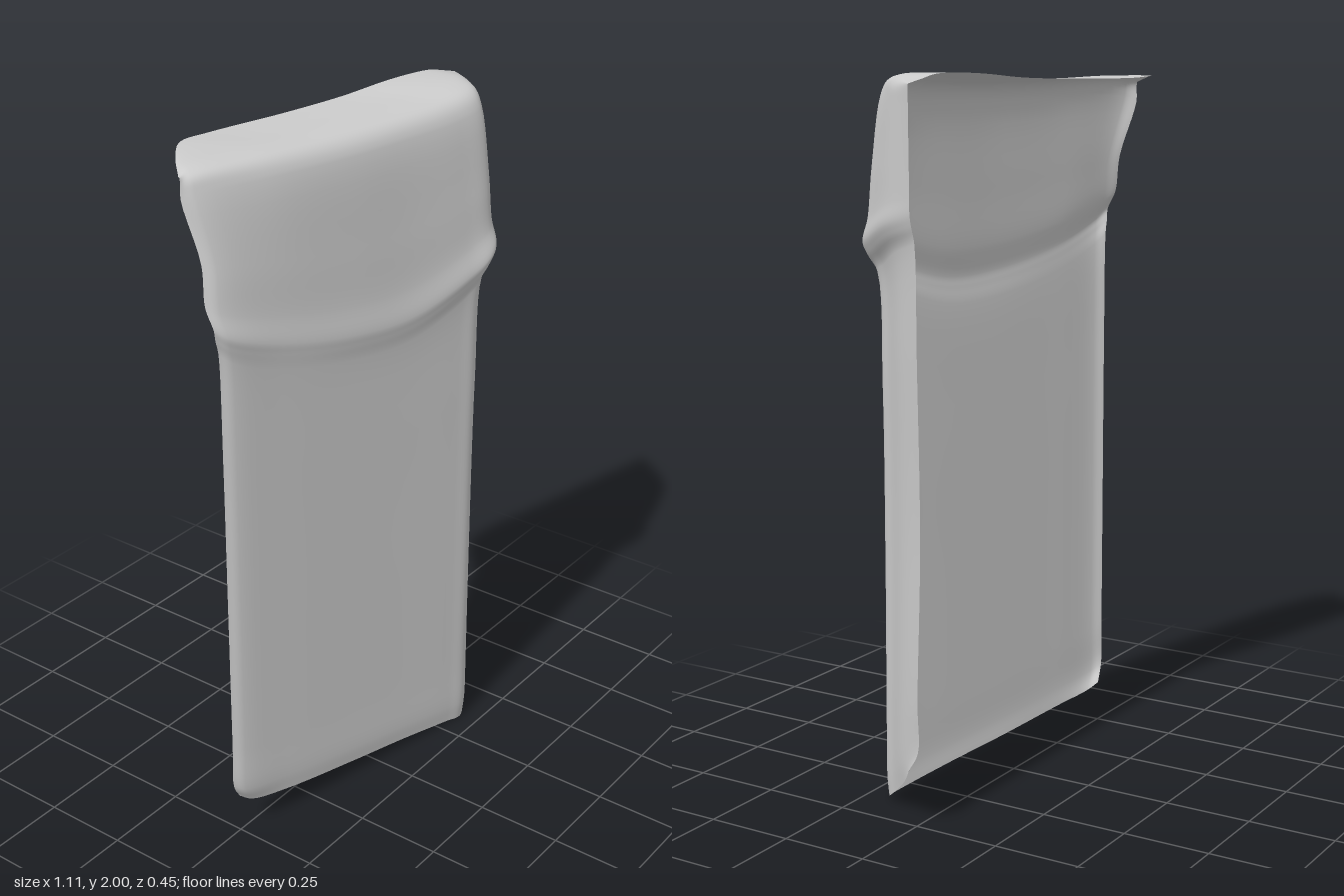
import * as THREE from 'three';

// Plan outlines as [x, z], from the left edge, round the front corner, to the rear of the side wall
const bodyPlan = [[-.53, .005], [-.5, .025], [-.35, .06], [-.1, .11], [.1, .15], [.28, .187], [.34, .198], [.378, .18], [.41, .135], [.47, .06], [.522, -.03]];
const lipPlan = [[-.555, .01], [-.52, .03], [-.35, .065], [-.1, .12], [.1, .162], [.3, .207], [.38, .223], [.415, .213], [.45, .17], [.508, .08], [.548, -.03]];
const rimPlan = [[-.55, -.085], [-.53, -.055], [-.35, .015], [-.1, .075], [.1, .112], [.3, .147], [.4, .153], [.435, .135], [.465, .1], [.51, .045], [.55, -.03]];
const backPlan = [[-.55, -.09], [-.48, -.16], [-.39, -.222], [-.28, -.222], [-.05, -.17], [.15, -.125], [.3, -.09], [.4, -.066], [.46, -.052], [.51, -.042], [.55, -.032]];

// Heights of the bottom edge, the flap lip and the top along the same columns
const bottomY = [.12, .1, .08, .05, .03, .008, 0, .01, .045, .11, .17];
const lipY = [1.59, 1.56, 1.495, 1.445, 1.44, 1.5, 1.54, 1.56, 1.58, 1.62, 1.65];
const topY = [1.965, 1.98, 1.985, 1.98, 1.98, 1.985, 1.997, 2, 1.997, 1.985, 1.975];

const mix = THREE.MathUtils.lerp;
const N = bodyPlan.length;

// One cross-section: blend two plans and give each column a height
function section(a, b, t, height, adjust) {
  return Array.from({ length: N }, (_, i) => {
    const p = new THREE.Vector3(mix(a[i][0], b[i][0], t), height(i), mix(a[i][1], b[i][1], t));
    if (adjust) adjust(p, i);
    return p;
  });
}

// Smooth grid through the sections: across each one first, then along the height
function loft(sections, acrossSteps, alongSteps) {
  const rows = sections.map(s => new THREE.CatmullRomCurve3(s).getPoints(acrossSteps));
  const columns = rows[0].map((_, i) => new THREE.CatmullRomCurve3(rows.map(r => r[i])).getPoints(alongSteps));
  const positions = [], index = [];
  columns.forEach(c => c.forEach(p => positions.push(p.x, p.y, p.z)));
  const w = alongSteps + 1;
  for (let i = 0; i < acrossSteps; i++) {
    for (let j = 0; j < alongSteps; j++) {
      const a = i * w + j, b = a + w;
      index.push(a, b, b + 1, a, b + 1, a + 1);
    }
  }
  const g = new THREE.BufferGeometry();
  g.setAttribute('position', new THREE.Float32BufferAttribute(positions, 3));
  g.setIndex(index);
  g.computeVertexNormals();
  return g;
}

export function createModel() {
  const group = new THREE.Group();
  group.name = 'flappedPouch';

  const flare = amount => (p, i) => { p.x += amount * (i / (N - 1)) ** 4; };
  const bodyRow = (f, adjust) => section(bodyPlan, lipPlan, 0, i => mix(bottomY[i], lipY[i] - .1, f), adjust);
  const lidRow = (t, f, adjust) => section(lipPlan, rimPlan, t, i => mix(lipY[i], topY[i] - .06, f), adjust);
  const capRow = (t, drop) => section(rimPlan, backPlan, t, i => topY[i] - drop * (i === N - 1 ? .3 : 1));

  const sections = [
    // Body, with the bottom edge turned in and a slight waist
    bodyRow(0, (p, i) => {
      p.x = i < 2 ? p.x + .03 : p.x + .013 * (i / (N - 1)) ** 4;
      p.z += i === N - 1 ? .03 : -.006;
    }),
    bodyRow(.04, flare(.013)),
    bodyRow(.14, flare(.013)),
    bodyRow(.45, flare(-.007)),
    bodyRow(.8, flare(0)),
    section(bodyPlan, lipPlan, .22, i => lipY[i] - .075),
    // Flap: rolled lip, then the face leaning back to the rim
    section(bodyPlan, lipPlan, .75, i => lipY[i] - .03),
    lidRow(0, 0),
    lidRow(.28, .17),
    lidRow(.5, .5, (p, i) => { if (i < 2) p.x += .014; }),
    lidRow(1, 1),
    // Top, rounded over and running to the rear edge
    capRow(.1, .02),
    capRow(.3, .004),
    capRow(.65, 0),
    capRow(1, 0),
  ];

  const material = new THREE.MeshStandardMaterial({ color: 0xcccccc, side: THREE.DoubleSide });
  const shell = new THREE.Mesh(loft(sections, 60, 84), material);
  shell.name = 'pouchShell';
  group.add(shell);
  return group;
}
